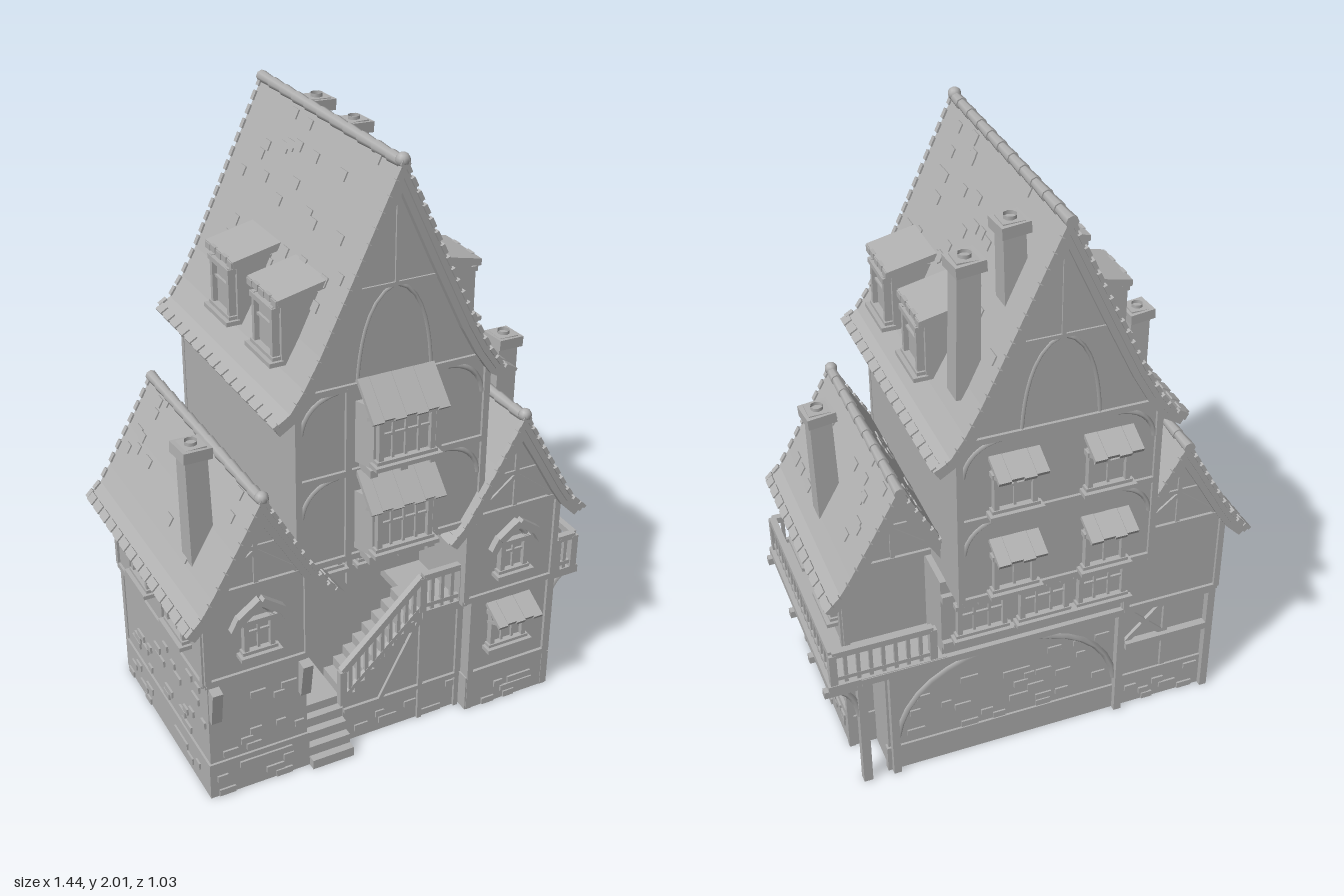
import * as THREE from 'three';

const grey = new THREE.MeshStandardMaterial({ color: 0xb0b0b0, side: THREE.DoubleSide });
grey.name = 'plain grey';
let seed = 7;
const rnd = () => (seed = (seed * 16807) % 2147483647) / 2147483647;
const V = (x, y, z) => new THREE.Vector3(x, y, z);

function add(g, name, geo, x = 0, y = 0, z = 0) {
  const m = new THREE.Mesh(geo, grey);
  m.name = name;
  m.position.set(x, y, z);
  g.add(m);
  return m;
}
// box given by its limits on each axis
const block = (g, name, x0, x1, y0, y1, z0, z1) =>
  add(g, name, new THREE.BoxGeometry(x1 - x0, y1 - y0, z1 - z0), (x0 + x1) / 2, (y0 + y1) / 2, (z0 + z1) / 2);

// square bar between two points
function beam(g, name, a, b, t = 0.02) {
  const m = new THREE.Mesh(new THREE.BoxGeometry(t, t, a.distanceTo(b)), grey);
  m.name = name;
  m.position.copy(a).lerp(b, 0.5);
  m.lookAt(b);
  g.add(m);
}
const outline = pts => new THREE.Shape(pts.map(p => new THREE.Vector2(p[0], p[1])));
const rect = (x0, x1, y0, y1) => [[x0, y0], [x1, y0], [x1, y1], [x0, y1]];
// flat outline pushed along z
const slab = (g, name, shape, z0, z1) =>
  add(g, name, new THREE.ExtrudeGeometry(shape, { depth: z1 - z0, bevelEnabled: false, curveSegments: 8 }), 0, 0, z0);
// four walls without floor or ceiling
function shell(g, name, x0, x1, y0, y1, z0, z1, t = 0.02) {
  const shape = outline(rect(x0, x1, z0, z1));
  shape.holes.push(outline(rect(x0 + t, x1 - t, z0 + t, z1 - t)));
  add(g, name, new THREE.ExtrudeGeometry(shape, { depth: y1 - y0, bevelEnabled: false }).rotateX(Math.PI / 2), 0, y1, 0);
}
// group whose local +z looks out of one side of the house
function side(root, name, angle) {
  const g = new THREE.Group();
  g.name = name;
  g.rotation.y = angle;
  root.add(g);
  return g;
}
// timber lines [u0, v0, u1, v1] on a wall at the given distance
const timbers = (g, d, list, t = 0.02) => list.forEach(([a, b, c, e]) => beam(g, 'timber', V(a, b, d), V(c, e, d), t));
// curved brace from a post foot (u, v) to a beam w away and h above
const curvedBrace = (g, u, v, d, w, h, t = 0.011) =>
  add(g, 'curvedBrace', new THREE.TubeGeometry(new THREE.QuadraticBezierCurve3(V(u, v, d), V(u + w * 0.12, v + h * 0.9, d), V(u + w, v + h, d)), 8, t, 4));

// scattered raised stones on a wall
function stones(g, u0, u1, v0, v1, d, n) {
  for (let i = 0; i < n; i++) {
    const w = 0.03 + rnd() * 0.03, rows = Math.max(1, Math.floor((v1 - v0) / 0.028));
    add(g, 'stone', new THREE.BoxGeometry(w, 0.023, 0.01), u0 + w / 2 + rnd() * (u1 - u0 - w), v0 + 0.014 + Math.floor(rnd() * rows) * 0.028, d);
  }
}
// sloping shingled canopy
function hood(g, u, v, d, w, depth, drop) {
  const n = Math.round(w / 0.035), len = Math.hypot(depth, drop);
  for (let i = 0; i < n; i++) {
    const m = add(g, 'hoodShingle', new THREE.BoxGeometry(w / n, 0.014, len - (i % 2) * 0.006), u - w / 2 + (i + 0.5) * w / n, v - drop / 2 + (i % 2) * 0.003, d + depth / 2);
    m.rotation.x = Math.atan2(drop, depth);
  }
  for (const s of [-1, 1]) beam(g, 'hoodBracket', V(u + s * w * 0.42, v - drop - 0.03, d), V(u + s * w * 0.42, v - drop, d + depth * 0.7), 0.01);
}
// window centred on (u, v) with frame, bars and sill
function windowUnit(g, u, v, d, w, h, bars = 1) {
  add(g, 'windowPane', new THREE.BoxGeometry(w, h, 0.008), u, v, d + 0.003);
  for (const s of [-1, 1]) {
    add(g, 'windowFrame', new THREE.BoxGeometry(0.016, h + 0.02, 0.026), u + s * w / 2, v, d + 0.01);
    add(g, 'windowFrame', new THREE.BoxGeometry(w + 0.03, 0.016, 0.03), u, v + s * h / 2, d + 0.012);
  }
  for (let i = 1; i <= bars; i++) add(g, 'windowBar', new THREE.BoxGeometry(0.008, h, 0.016), u - w / 2 + i * w / (bars + 1), v, d + 0.008);
  add(g, 'windowBar', new THREE.BoxGeometry(w, 0.008, 0.014), u, v + h * 0.12, d + 0.008);
  add(g, 'sill', new THREE.BoxGeometry(w + 0.05, 0.014, 0.045), u, v - h / 2 - 0.01, d + 0.018);
}
// half-round arch band
const arch = (g, name, u, v, d, r, t) => add(g, name, new THREE.TorusGeometry(r, t, 4, 10, Math.PI), u, v, d);
function archedWindow(g, u, v, d) {
  windowUnit(g, u, v, d, 0.085, 0.11);
  add(g, 'archPane', new THREE.CylinderGeometry(0.043, 0.043, 0.012, 12).rotateX(Math.PI / 2), u, v + 0.055, d);
  arch(g, 'archFrame', u, v + 0.055, d + 0.01, 0.045, 0.011);
  for (const s of [-1, 1]) {
    beam(g, 'archHood', V(u, v + 0.135, d + 0.035), V(u + s * 0.068, v + 0.085, d + 0.035), 0.026);
    beam(g, 'archHood', V(u + s * 0.064, v + 0.09, d + 0.03), V(u + s * 0.088, v + 0.045, d + 0.03), 0.024);
  }
}
// flared gable roof with bargeboards, ragged ends, ridge caps and loose shingles
function gableRoof(root, name, cx, half, z0, z1, loose) {
  const g = side(root, name, 0);
  g.position.x = cx;
  const norm = half.map((p, i) => {
    const a = half[Math.max(0, i - 1)], b = half[Math.min(half.length - 1, i + 1)];
    const l = Math.hypot(b[0] - a[0], b[1] - a[1]);
    return [(a[1] - b[1]) / l, (b[0] - a[0]) / l];
  });
  const strip = (t, label, a, b) => {
    const inner = half.map((p, i) => i ? [p[0] - norm[i][0] * t, p[1] - norm[i][1] * t] : [0, p[1] - t * 2.2]);
    const flip = l => l.slice(1).map(p => [-p[0], p[1]]);
    slab(g, label, outline([...flip(half).reverse(), ...half, ...inner.slice().reverse(), ...flip(inner)]), a, b);
  };
  strip(0.022, 'roofShell', z0, z1);
  strip(0.042, 'bargeboard', z0 + 0.008, z0 + 0.03);
  strip(0.042, 'bargeboard', z1 - 0.03, z1 - 0.008);
  const shingle = (i, f, s, z, len, w, t) => {
    const a = half[i], b = half[i + 1], l = Math.hypot(b[0] - a[0], b[1] - a[1]);
    const nx = (a[1] - b[1]) / l, ny = (b[0] - a[0]) / l;
    const m = add(g, 'shingle', new THREE.BoxGeometry(t, len, w), s * (a[0] + (b[0] - a[0]) * f), a[1] + (b[1] - a[1]) * f, z);
    m.rotation.z = Math.atan2(ny, s * nx);
  };
  for (const s of [-1, 1]) {
    for (let i = 0; i < half.length - 1; i++) {
      const n = Math.max(1, Math.round(Math.hypot(half[i + 1][0] - half[i][0], half[i + 1][1] - half[i][1]) / 0.045));
      for (let k = 0; k < n; k++) for (const z of [z0, z1]) shingle(i, (k + 0.5) / n, s, z, 0.03, 0.018, 0.012);
    }
    for (let z = z0 + 0.03; z < z1; z += 0.06) shingle(half.length - 2, 0.8, s, z, 0.03, 0.042, 0.01);
    for (let k = 0; k < loose; k++) shingle(k % 2, 0.1 + rnd() * 0.85, s, z0 + 0.06 + rnd() * (z1 - z0 - 0.12), 0.03, 0.03 + rnd() * 0.02, 0.009);
  }
  const caps = Math.round((z1 - z0) / 0.08), step = (z1 - z0 + 0.02) / caps;
  for (let k = 0; k < caps; k++) add(g, 'ridgeCap', new THREE.CylinderGeometry(0.015, 0.019, step, 8).rotateX(Math.PI / 2), 0, half[0][1] - 0.008, z0 - 0.01 + (k + 0.5) * step);
  add(g, 'finial', new THREE.SphereGeometry(0.021, 10, 8), 0, half[0][1], z1 - 0.008);
}
function chimney(root, x, z, y0, y1, w, lean) {
  const g = side(root, 'chimney', 0);
  g.position.set(x, 0, z);
  const stack = new THREE.CylinderGeometry(w * 0.64, w * 0.7, y1 - y0, 4).rotateY(Math.PI / 4).toNonIndexed();
  stack.computeVertexNormals();
  add(g, 'stack', stack, -lean / 2, (y0 + y1) / 2).rotation.z = -lean / (y1 - y0);
  add(g, 'collar', new THREE.BoxGeometry(w + 0.016, 0.035, w + 0.016), 0, y1 - 0.02).rotation.set(0, 0.08, -0.06);
  add(g, 'flue', new THREE.CylinderGeometry(0.02, 0.02, 0.016, 8, 1, true), 0, y1 + 0.003);
}
// handrail with balusters between two foot points
function railing(g, a, b, h = 0.12) {
  const up = V(0, h, 0), n = Math.max(2, Math.round(a.distanceTo(b) / 0.04));
  beam(g, 'handrail', a.clone().add(up), b.clone().add(up), 0.022);
  beam(g, 'lowerRail', a.clone().add(V(0, 0.02, 0)), b.clone().add(V(0, 0.02, 0)), 0.014);
  for (let i = 0; i <= n; i++) {
    const p = a.clone().lerp(b, i / n);
    beam(g, 'baluster', p, p.clone().add(up), i % n ? 0.012 : 0.024);
  }
}

export function createModel() {
  const root = new THREE.Group();
  root.name = 'timberHouse';
  const front = side(root, 'frontDetails', 0), back = side(root, 'backDetails', Math.PI);
  const east = side(root, 'leftSideDetails', Math.PI / 2), west = side(root, 'rightSideDetails', -Math.PI / 2);
  const house = (name, x0, x1, y0, yw, ya, z0, z1) =>
    slab(root, name, outline([[x0, y0], [x1, y0], [x1, yw], [(x0 + x1) / 2, ya], [x0, yw]]), z0, z1);

  // walls: hollow ground floor under solid upper storeys
  house('towerWalls', -0.33, 0.31, 0.74, 1.31, 1.93, -0.43, 0.4);
  block(root, 'rearWall', -0.32, 0.52, 0, 0.44, -0.31, -0.29);
  block(root, 'recessWall', -0.3, 0.3, 0, 0.44, 0.08, 0.1);
  block(root, 'rearEndWall', 0.5, 0.52, 0, 0.44, -0.3, -0.15);
  block(root, 'rearUpperFloor', -0.32, 0.33, 0.44, 0.75, -0.32, 0.12);
  block(root, 'wingFrontWall', -0.63, -0.3, 0, 0.44, 0.38, 0.4);
  block(root, 'wingBackWall', -0.63, -0.3, 0, 0.44, -0.31, -0.29);
  block(root, 'wingOuterWall', -0.63, -0.61, 0, 0.44, -0.31, 0.4);
  house('wingUpperWalls', -0.64, -0.29, 0.43, 0.76, 1.04, -0.33, 0.41);
  shell(root, 'timberWingBase', 0.29, 0.605, 0, 0.44, -0.16, 0.395);
  house('wingUpperWalls', 0.26, 0.61, 0.43, 0.76, 1.06, -0.17, 0.4);
  shell(root, 'plinth', -0.637, -0.295, 0, 0.13, -0.318, 0.408);
  shell(root, 'plinth', 0.285, 0.612, 0, 0.13, -0.167, 0.404);
  block(root, 'rearPlinth', -0.3, 0.527, 0, 0.1, -0.318, -0.295);

  // inner wing wall with an open arched doorway
  const doorWall = outline(rect(-0.4, 0.31, 0, 0.44)), door = new THREE.Path();
  door.moveTo(-0.25, 0.17);
  door.lineTo(-0.15, 0.17);
  door.lineTo(-0.15, 0.3);
  door.absarc(-0.2, 0.3, 0.05, 0, Math.PI);
  doorWall.holes.push(door);
  slab(east, 'doorWall', doorWall, -0.32, -0.3);
  arch(east, 'doorArch', -0.2, 0.3, -0.298, 0.056, 0.012);
  for (const s of [-1, 1]) beam(east, 'doorJamb', V(-0.2 + s * 0.056, 0.17, -0.298), V(-0.2 + s * 0.056, 0.3, -0.298), 0.02);

  // roofs
  gableRoof(root, 'towerRoof', -0.012, [[0, 1.985], [0.14, 1.69], [0.25, 1.46], [0.3, 1.37], [0.345, 1.305], [0.395, 1.275]], -0.455, 0.432, 34);
  const wing = y => [[0, y], [0.09, y - 0.16], [0.165, y - 0.29], [0.2, y - 0.345], [0.25, y - 0.395]];
  gableRoof(root, 'wingRoof', -0.467, wing(1.09), -0.365, 0.48, 18);
  gableRoof(root, 'wingRoof', 0.433, wing(1.105), -0.28, 0.435, 18);
  chimney(root, 0.1, -0.31, 1.6, 1.94, 0.072, 0.01);
  chimney(root, 0.23, -0.31, 1.42, 1.85, 0.076, -0.008);
  chimney(root, -0.595, 0.28, 0.78, 1.2, 0.076, -0.008);
  chimney(root, 0.572, 0.08, 0.78, 1.2, 0.076, 0.008);

  // dormers on both slopes
  for (const [g, sgn, face] of [[east, 1, 0.3], [west, -1, 0.315]]) for (const z of [0.215, -0.085]) {
    const u = -sgn * z;
    block(g, 'dormer', u - 0.08, u + 0.08, 1.385, 1.59, 0.1, face);
    windowUnit(g, u, 1.48, face, 0.12, 0.15, 0);
    add(g, 'dormerRoof', new THREE.BoxGeometry(0.2, 0.022, 0.16), u, 1.603, face - 0.06).rotation.x = 0.22;
    for (let i = 0; i < 5; i++) add(g, 'dormerShingle', new THREE.BoxGeometry(0.034, 0.02, 0.016), u - 0.08 + i * 0.04, 1.584 + (i % 2) * 0.004, face + 0.016);
  }

  // gable and storey timbers, front and back
  for (const [g, d, m] of [[front, 0.4, 1], [back, 0.43, -1]]) {
    const c = -0.01 * m, w = 0.312;
    timbers(g, d, [[c - w, 0.74, c - w, 1.3], [c + w, 0.74, c + w, 1.3], [c - w, 0.755, c + w, 0.755], [c - w, 1.05, c + w, 1.05], [c - w, 1.33, c + w, 1.33]]);
    timbers(g, d, [[c, 1.62, c, 1.9], [c - 0.14, 1.62, c + 0.14, 1.62]], 0.012);
    for (const s of [-1, 1]) {
      curvedBrace(g, c + s * 0.12, 1.34, d, -s * 0.12, 0.28, 0.006);
      for (const y of [0.93, 1.21]) curvedBrace(g, c + s * 0.3, y, d, -s * 0.12, 0.11, 0.008);
    }
  }
  timbers(front, 0.4, [[-0.16, 0.76, -0.16, 1.33], [0.14, 0.76, 0.14, 1.33]]);
  const gableTimber = (g, c, d, y) => {
    timbers(g, d, [[c - 0.17, y, c + 0.17, y], [c - 0.17, 0.45, c + 0.17, 0.45], [c - 0.165, 0.45, c - 0.165, y], [c + 0.165, 0.45, c + 0.165, y]]);
    timbers(g, d, [[c, y, c, y + 0.24], [c - 0.09, y + 0.13, c + 0.09, y + 0.13]], 0.014);
    for (const s of [-1, 1]) timbers(g, d, [[c + s * 0.15, y, c, y + 0.12]], 0.014);
  };
  for (const [g, c, d] of [[front, -0.467, 0.41], [front, 0.433, 0.4], [back, 0.467, 0.33], [back, -0.433, 0.17]]) gableTimber(g, c, d, 0.76);

  // front windows
  archedWindow(front, -0.467, 0.59, 0.41);
  archedWindow(front, 0.433, 0.59, 0.4);
  windowUnit(front, 0.433, 0.31, 0.395, 0.12, 0.13, 2);
  hood(front, 0.433, 0.41, 0.4, 0.165, 0.085, 0.045);
  for (const x of [-0.15, 0.13]) windowUnit(front, x, 0.59, 0.12, 0.2, 0.13, 3);
  timbers(front, 0.125, [[-0.01, 0.44, -0.01, 0.74], [-0.29, 0.5, 0.27, 0.5], [-0.29, 0.69, 0.27, 0.69]]);

  // two stacked bay windows
  for (const y of [0.78, 1.08]) {
    const plan = outline([[-0.14, 0.39], [0.12, 0.39], [0.09, 0.465], [-0.11, 0.465]]);
    add(front, 'bay', new THREE.ExtrudeGeometry(plan, { depth: 0.2, bevelEnabled: false }).rotateX(Math.PI / 2), 0, y + 0.2, 0);
    windowUnit(front, -0.01, y + 0.095, 0.462, 0.17, 0.14, 3);
    hood(front, -0.01, y + 0.27, 0.405, 0.25, 0.1, 0.1);
    for (const x of [-0.11, -0.01, 0.09]) block(front, 'bayCorbel', x - 0.012, x + 0.012, y - 0.025, y, 0.4, 0.47);
  }

  // back windows, arch braces and timbers
  for (const u of [-0.135, 0.16]) for (const y of [0.845, 1.145]) {
    windowUnit(back, u, y, 0.43, 0.12, 0.13);
    hood(back, u, y + 0.12, 0.43, 0.155, 0.085, 0.04);
  }
  for (const u of [-0.2, 0.01, 0.21]) windowUnit(back, u, 0.59, 0.32, 0.15, 0.12, 2);
  timbers(back, 0.325, [[-0.33, 0.5, 0.29, 0.5], [-0.33, 0.69, 0.29, 0.69], [-0.6, 0.44, 0.63, 0.44], [-0.5, 0, -0.5, 0.44], [0.29, 0, 0.29, 0.44], [0.31, 0.28, 0.63, 0.28], [0.62, 0, 0.62, 0.44]], 0.026);
  timbers(back, 0.313, [[0.31, 0.28, 0.46, 0.43], [0.46, 0.28, 0.31, 0.43], [0.46, 0.14, 0.46, 0.44]], 0.018);
  curvedBrace(back, -0.49, 0.14, 0.318, 0.36, 0.29);
  curvedBrace(back, 0.28, 0.14, 0.318, -0.36, 0.29);
  for (let u = -0.28; u < 0.3; u += 0.045) block(back, 'joist', u - 0.01, u + 0.01, 0.722, 0.745, 0.31, 0.425);

  // side windows and timbers
  for (const z of [0.235, -0.06]) {
    windowUnit(east, -z, 0.6, 0.61, 0.12, 0.12);
    windowUnit(west, z, 0.6, 0.64, 0.12, 0.12);
  }
  timbers(east, 0.605, [[-0.39, 0, -0.39, 0.74], [-0.08, 0, -0.08, 0.44], [0.16, 0, 0.16, 0.74], [-0.39, 0.14, 0.16, 0.14], [-0.39, 0.72, 0.16, 0.72], [-0.23, 0.14, -0.23, 0.42]]);
  timbers(west, 0.638, [[-0.32, 0.44, 0.4, 0.44], [-0.32, 0.72, 0.4, 0.72], [-0.32, 0.44, -0.32, 0.74], [0.4, 0.44, 0.4, 0.74], [0.08, 0.44, 0.08, 0.72], [-0.2, 0.44, -0.2, 0.72]]);
  timbers(front, 0.396, [[0.3, 0, 0.3, 0.44], [0.595, 0, 0.595, 0.44], [0.3, 0.14, 0.6, 0.14]]);
  for (const x of [-0.61, -0.31]) beam(front, 'wingBracket', V(x, 0.3, 0.4), V(x, 0.42, 0.42), 0.034);

  // scattered stones
  [[front, -0.62, -0.31, 0.14, 0.42, 0.402, 12], [front, -0.62, -0.31, 0, 0.12, 0.41, 9], [front, 0.31, 0.6, 0, 0.12, 0.406, 9],
    [back, -0.48, 0.27, 0.1, 0.4, 0.311, 26], [back, 0.31, 0.62, 0, 0.13, 0.32, 8], [west, -0.3, 0.39, 0.14, 0.42, 0.632, 24],
    [west, -0.3, 0.39, 0, 0.12, 0.638, 12], [east, -0.39, 0.15, 0, 0.12, 0.613, 14]].forEach(a => stones(...a));

  // balcony wrapping the side and back
  const balcony = side(root, 'balcony', 0);
  block(balcony, 'deck', 0.58, 0.705, 0.43, 0.455, -0.335, 0.4);
  block(balcony, 'deck', 0.32, 0.6, 0.43, 0.455, -0.335, -0.15);
  railing(balcony, V(0.685, 0.455, -0.32), V(0.685, 0.455, 0.39));
  railing(balcony, V(0.36, 0.455, -0.32), V(0.685, 0.455, -0.32));
  railing(balcony, V(0.62, 0.455, 0.39), V(0.685, 0.455, 0.39));
  block(balcony, 'cornerPost', 0.585, 0.615, 0, 0.44, -0.335, -0.305);
  for (const z of [0.37, 0.08, -0.15, -0.32]) {
    curvedBrace(balcony, 0.61, 0.29, z, 0.09, 0.135);
    block(balcony, 'deckBeam', 0.58, 0.72, 0.41, 0.435, z - 0.012, z + 0.012);
  }

  // entrance stair, landing, side flight and porch
  const stair = side(root, 'entranceStair', 0);
  for (let i = 0; i < 5; i++) block(stair, 'step', -0.295, -0.15, i * 0.034, (i + 1) * 0.034, 0.3, 0.435 - i * 0.027);
  block(stair, 'landing', -0.295, -0.15, 0.14, 0.17, 0.1, 0.33);
  for (let i = 0; i < 8; i++) block(stair, 'step', -0.15 + i * 0.035, -0.11 + i * 0.035, 0.165 + i * 0.034, 0.204 + i * 0.034, 0.22, 0.375);
  block(stair, 'porch', 0.125, 0.29, 0.41, 0.44, 0.1, 0.38);
  slab(stair, 'stairWall', outline([[-0.15, 0], [0.29, 0], [0.29, 0.42], [0.13, 0.42], [-0.15, 0.16]]), 0.345, 0.36);
  railing(stair, V(-0.16, 0.17, 0.37), V(0.125, 0.44, 0.37), 0.13);
  railing(stair, V(0.125, 0.44, 0.37), V(0.27, 0.44, 0.37), 0.13);
  timbers(stair, 0.362, [[0.13, 0, 0.13, 0.43], [0.27, 0, 0.27, 0.43], [-0.15, 0.13, 0.28, 0.13], [-0.02, 0.13, 0.12, 0.4]], 0.016);
  stones(stair, -0.14, 0.28, 0, 0.12, 0.361, 9);
  return root;
}
